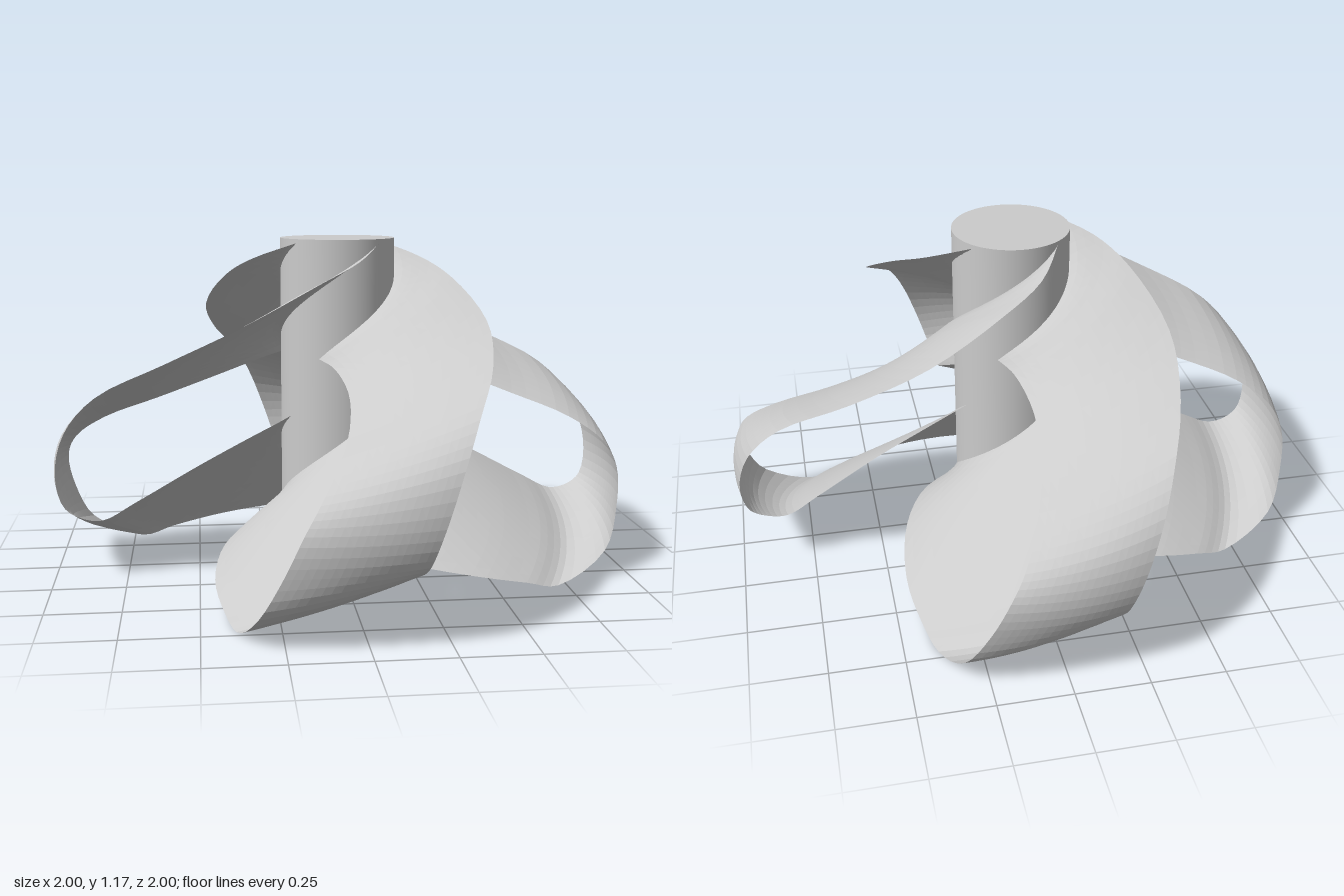
import * as THREE from 'three';

// Stations along one looped blade, upper root -> tip -> lower root.
// Each row: edge A then edge B, as (distance along arm, sideways, height).
const STATIONS = [
  [-0.14, 0.13, 1.165, 0.165, -0.095, 0.77],
  [-0.04, 0.3, 1.1, 0.2, -0.07, 0.76],
  [0.1, 0.39, 1.035, 0.26, -0.04, 0.745],
  [0.35, 0.46, 0.91, 0.42, -0.01, 0.69],
  [0.6, 0.425, 0.79, 0.63, -0.03, 0.61],
  [0.83, 0.335, 0.67, 0.83, -0.09, 0.53],
  [0.94, 0.27, 0.54, 0.94, -0.15, 0.45],
  [0.98, 0.21, 0.38, 0.975, -0.2, 0.37],
  [0.955, 0.17, 0.26, 0.96, -0.26, 0.24],
  [0.9, 0.155, 0.22, 0.9, -0.33, 0.1],
  [0.83, 0.15, 0.21, 0.72, -0.39, 0.0],
  [0.72, 0.135, 0.265, 0.6, -0.425, 0.025],
  [0.5, 0.11, 0.385, 0.4, -0.45, 0.065],
  [0.32, 0.105, 0.48, 0.14, -0.41, 0.11],
  [0.22, 0.1, 0.53, -0.04, -0.31, 0.135],
  [0.165, 0.1, 0.56, -0.14, -0.13, 0.15],
];

function edgeCurve(offset) {
  return new THREE.CatmullRomCurve3(
    STATIONS.map((s) => new THREE.Vector3(s[offset], s[offset + 1], s[offset + 2])));
}

// Ribbon between the two edges; the chord is blended in polar form so it wraps round the hub
function bladeGeometry(along = 60, across = 16) {
  const edgeA = edgeCurve(0);
  const edgeB = edgeCurve(3);
  const positions = [];
  const indices = [];
  for (let i = 0; i <= along; i++) {
    const a = edgeA.getPoint(i / along);
    const b = edgeB.getPoint(i / along);
    const angleA = Math.atan2(a.y, a.x), angleB = Math.atan2(b.y, b.x);
    const radiusA = Math.hypot(a.x, a.y), radiusB = Math.hypot(b.x, b.y);
    for (let j = 0; j <= across; j++) {
      const t = j / across;
      const angle = THREE.MathUtils.lerp(angleA, angleB, t);
      const radius = THREE.MathUtils.lerp(radiusA, radiusB, t);
      const height = Math.max(0, THREE.MathUtils.lerp(a.z, b.z, t));
      positions.push(radius * Math.cos(angle), height, -radius * Math.sin(angle));
      if (i < along && j < across) {
        const p = i * (across + 1) + j;
        const q = p + across + 1;
        indices.push(p, p + 1, q, q, p + 1, q + 1);
      }
    }
  }
  const geometry = new THREE.BufferGeometry();
  geometry.setAttribute('position', new THREE.Float32BufferAttribute(positions, 3));
  geometry.setIndex(indices);
  geometry.computeVertexNormals();
  return geometry;
}

export function createModel() {
  const model = new THREE.Group();
  model.name = 'loopedPropeller';

  // Central hub
  const hubMaterial = new THREE.MeshStandardMaterial({ color: 0xcccccc });
  const hub = new THREE.Mesh(new THREE.CylinderGeometry(0.2, 0.2, 1.17, 64), hubMaterial);
  hub.name = 'hub';
  hub.position.y = 0.585;
  model.add(hub);

  // Four identical looped blades
  const bladeMaterial = new THREE.MeshStandardMaterial({
    color: 0xcccccc, flatShading: true, side: THREE.DoubleSide,
  });
  const geometry = bladeGeometry();
  for (let k = 0; k < 4; k++) {
    const blade = new THREE.Mesh(geometry, bladeMaterial);
    blade.name = `loopBlade${k + 1}`;
    blade.rotation.y = (k * Math.PI) / 2;
    model.add(blade);
  }
  return model;
}
